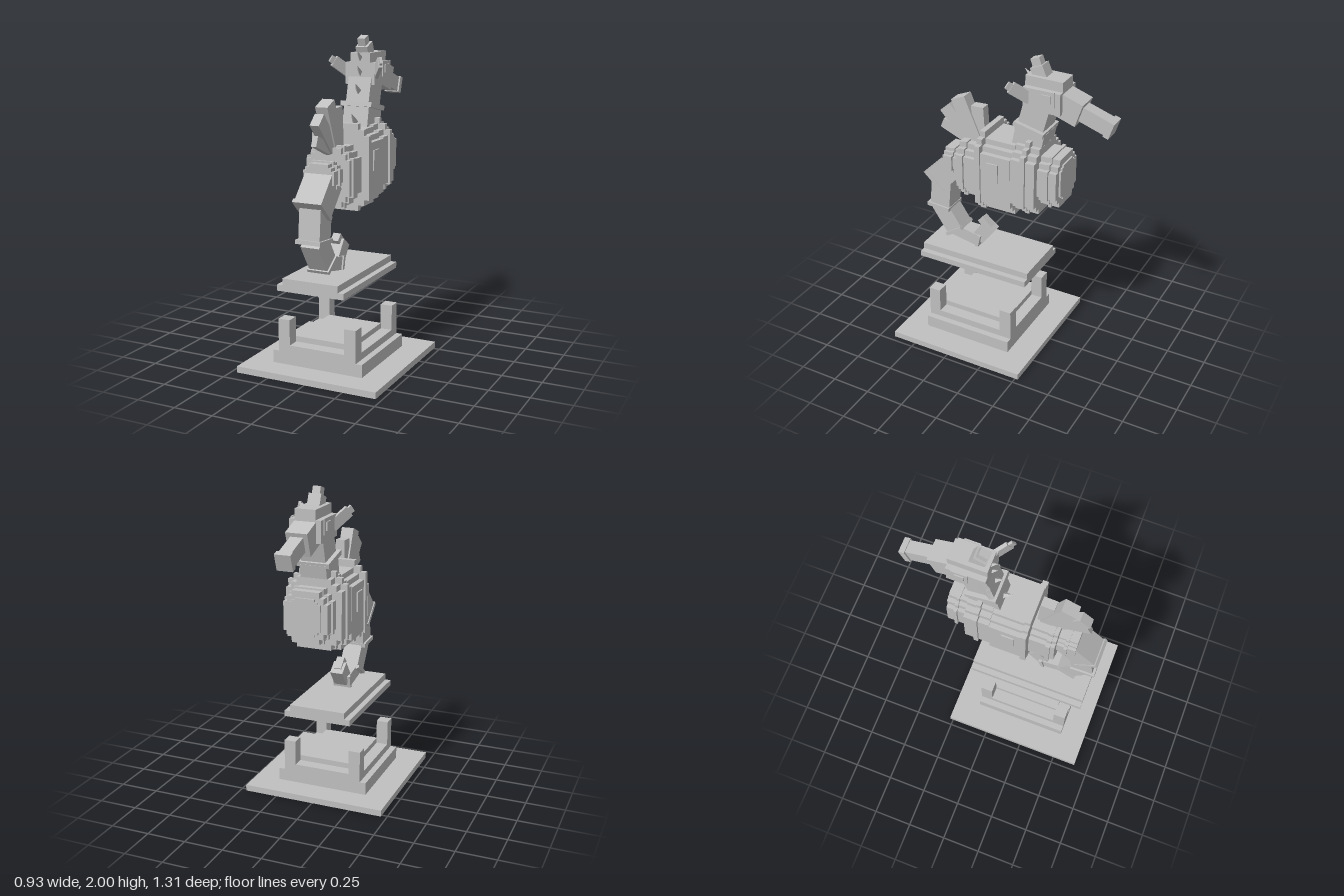
import * as THREE from 'three';

export function createModel() {
  const model = new THREE.Group();
  const stone = new THREE.MeshStandardMaterial({ color: 0xc0c0c0 });
  stone.name = 'stone grey';

  const add = (name, geometry, parent = model) => {
    const mesh = new THREE.Mesh(geometry, stone);
    mesh.name = name;
    parent.add(mesh);
    return mesh;
  };
  // Upright box given by its limits
  const block = (name, x0, x1, y0, y1, z0, z1, parent) => {
    const mesh = add(name, new THREE.BoxGeometry(x1 - x0, y1 - y0, z1 - z0), parent);
    mesh.position.set((x0 + x1) / 2, (y0 + y1) / 2, (z0 + z1) / 2);
    return mesh;
  };
  // Tilted box running from a to b, both [z, y], with thickness h and width w
  const beam = (name, a, b, h, w) => {
    const dz = b[0] - a[0], dy = b[1] - a[1];
    const mesh = add(name, new THREE.BoxGeometry(w, h, Math.hypot(dz, dy)));
    mesh.position.set(0, (a[1] + b[1]) / 2, (a[0] + b[0]) / 2);
    mesh.rotation.x = Math.atan2(-dy, dz);
    return mesh;
  };
  // Body slice with stepped corners
  const slice = (name, z0, z1, y0, y1, w, step = 0.035) => {
    const group = new THREE.Group();
    group.name = name;
    model.add(group);
    block('wideStep', -w, w, y0 + 2 * step, y1 - 2 * step, z0, z1, group);
    block('middleStep', -w * 0.82, w * 0.82, y0 + step, y1 - step, z0, z1, group);
    block('tallStep', -w * 0.62, w * 0.62, y0, y1, z0, z1, group);
  };

  // Stepped plinth with corner posts
  block('basePlate', -0.463, 0.463, 0, 0.04, -0.27, 0.655);
  block('lowerStep', -0.3, 0.3, 0.04, 0.12, -0.108, 0.495);
  block('upperStep', -0.26, 0.26, 0.12, 0.165, -0.108, 0.495);
  block('innerSlab', -0.185, 0.185, 0.165, 0.2, -0.033, 0.415);
  for (const s of [-1, 1]) {
    for (const z of [-0.108, 0.417]) {
      const post = block('cornerPost', -0.0385, 0.0385, 0.12, 0.325, z, z + 0.078);
      post.position.x = s * 0.2215;
    }
  }

  // Floating platform
  block('platformBottom', -0.22, 0.22, 0.53, 0.568, -0.187, 0.575);
  block('platformTop', -0.183, 0.183, 0.568, 0.61, -0.187, 0.575);

  // Body slices and rings, from the chest to the tail root
  slice('chestCap', -0.362, -0.34, 1.14, 1.37, 0.1, 0.015);
  slice('chest', -0.35, -0.22, 1.09, 1.41, 0.142);
  slice('chestRing', -0.3, -0.28, 1.08, 1.42, 0.155);
  slice('shoulders', -0.225, -0.065, 1.02, 1.46, 0.18);
  slice('shoulderRing', -0.165, -0.135, 1.01, 1.495, 0.193);
  slice('belly', -0.065, 0.16, 0.975, 1.45, 0.182);
  slice('bellyRing', 0.137, 0.172, 0.965, 1.495, 0.193);
  slice('hips', 0.16, 0.335, 1.015, 1.37, 0.142);
  slice('hipRing', 0.28, 0.308, 1.005, 1.38, 0.155);
  slice('tailRoot', 0.33, 0.455, 1.13, 1.29, 0.1, 0.02);
  slice('tailRootRing', 0.383, 0.403, 1.12, 1.3, 0.115, 0.02);

  // Curled tail
  beam('tailSegment', [0.39, 1.185], [0.535, 1.03], 0.16, 0.178);
  beam('tailRing', [0.525, 1.045], [0.542, 1.027], 0.175, 0.19);
  beam('tailSegment', [0.49, 1.06], [0.51, 0.85], 0.14, 0.14);
  beam('tailRing', [0.516, 0.857], [0.518, 0.832], 0.16, 0.165);
  beam('tailSegment', [0.52, 0.85], [0.4, 0.67], 0.125, 0.122);
  beam('tailRing', [0.418, 0.69], [0.406, 0.672], 0.135, 0.145);
  beam('tailSegment', [0.43, 0.685], [0.24, 0.647], 0.082, 0.1);
  beam('tailRing', [0.252, 0.65], [0.23, 0.645], 0.09, 0.12);
  beam('tailSegment', [0.25, 0.66], [0.17, 0.765], 0.09, 0.085);
  beam('tailTip', [0.175, 0.745], [0.235, 0.805], 0.055, 0.05);

  // Neck
  beam('lowerNeck', [-0.115, 1.4], [-0.148, 1.56], 0.19, 0.17);
  beam('neckRing', [-0.139, 1.55], [-0.146, 1.58], 0.2, 0.21);
  beam('upperNeck', [-0.145, 1.57], [-0.19, 1.74], 0.168, 0.155);

  // Head, crown and snout
  block('head', -0.1, 0.1, 1.7, 1.835, -0.345, -0.105);
  block('headTop', -0.066, 0.066, 1.835, 1.895, -0.345, -0.105);
  beam('crownBase', [-0.19, 1.875], [-0.16, 1.945], 0.085, 0.08);
  beam('crownTip', [-0.165, 1.93], [-0.143, 1.99], 0.06, 0.05);
  beam('snoutBase', [-0.3, 1.76], [-0.448, 1.71], 0.15, 0.136);
  beam('snout', [-0.44, 1.715], [-0.615, 1.657], 0.095, 0.08);
  beam('snoutTip', [-0.607, 1.66], [-0.643, 1.648], 0.105, 0.1);

  // Mirrored details: eyes, ear fins and side plates
  for (const s of [-1, 1]) {
    const eye = block('eyeSocket', -0.005, 0.005, 1.745, 1.84, -0.31, -0.21);
    eye.position.x = s * 0.102;
    const pupil = block('eye', -0.005, 0.005, 1.767, 1.818, -0.288, -0.232);
    pupil.position.x = s * 0.109;

    const ear = new THREE.Group();
    ear.name = 'earFin';
    ear.position.set(s * 0.13, 1.815, -0.09);
    ear.lookAt(s * 0.22, 1.915, 0.02);
    model.add(ear);
    block('earBlade', -0.012, 0.012, -0.035, 0.035, -0.09, 0.05, ear);
    block('earTip', -0.008, 0.008, -0.022, 0.022, 0.05, 0.078, ear);

    const plate = block('sidePlate', -0.005, 0.005, 1.205, 1.33, 0.015, 0.095);
    plate.position.x = s * 0.186;
  }

  // Back fin blades fanned from the hips
  beam('backFin', [0.225, 1.33], [0.24, 1.6], 0.085, 0.06);
  beam('backFin', [0.245, 1.34], [0.37, 1.635], 0.1, 0.08);
  beam('backFin', [0.28, 1.34], [0.47, 1.55], 0.09, 0.06);
  beam('backFin', [0.26, 1.33], [0.5, 1.43], 0.065, 0.034);

  // Spikes down the back of the head and neck: [z, y] of each base
  for (const [z, y] of [[-0.115, 1.86], [-0.115, 1.77], [-0.085, 1.665], [-0.03, 1.485]]) {
    const spike = add('spike', new THREE.ConeGeometry(0.024, 0.085, 4).toNonIndexed());
    spike.geometry.computeVertexNormals();
    spike.position.set(0, y + 0.018, z + 0.018);
    spike.rotation.x = Math.PI / 4;
  }

  return model;
}
